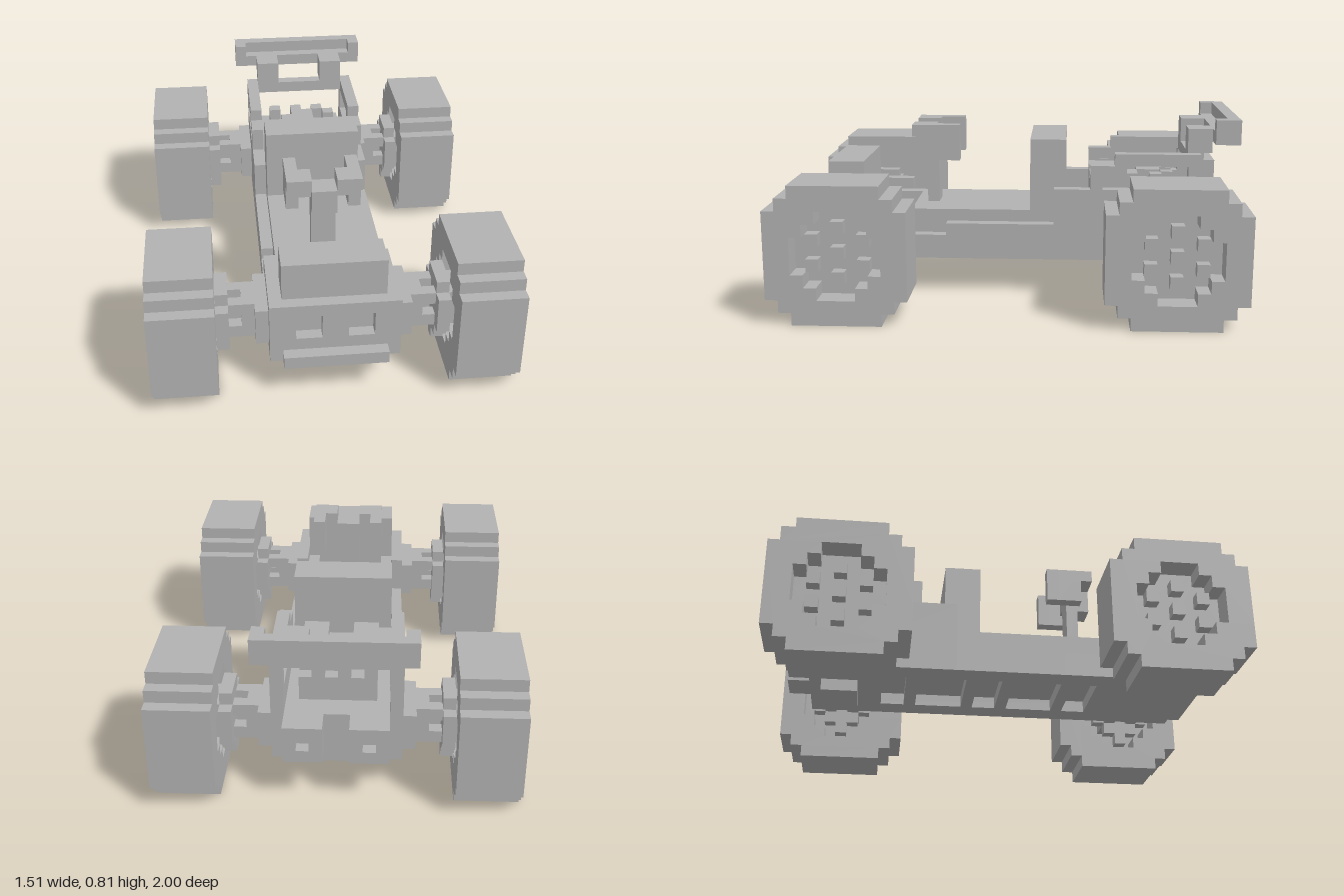
import * as THREE from 'three';

// One block of the model; lengths below are counted in blocks, z from the rear end.
const U = 2 / 37;
const bodyGrey = new THREE.MeshStandardMaterial({ color: 0xb2b2b2 });
bodyGrey.name = 'body grey';

function createPart(parent, name) {
  const part = new THREE.Group();
  part.name = name;
  parent.add(part);
  return part;
}

// Box between block coordinates
function box(parent, name, x0, x1, y0, y1, z0, z1) {
  const geo = new THREE.BoxGeometry((x1 - x0) * U, (y1 - y0) * U, (z1 - z0) * U);
  const mesh = new THREE.Mesh(geo, bodyGrey);
  mesh.name = name;
  mesh.position.set((x0 + x1) / 2 * U, (y0 + y1) / 2 * U, ((z0 + z1) / 2 - 18.5) * U);
  parent.add(mesh);
}

// The same box on both sides
function pair(parent, name, x0, x1, ...rest) {
  box(parent, name, x0, x1, ...rest);
  box(parent, name, -x1, -x0, ...rest);
}

// Stepped round outline: half the width of each row, from bottom to top
function steppedOutline(halfWidths) {
  const n = halfWidths.length, right = [], left = [];
  halfWidths.forEach((w, i) => {
    for (const y of [i - n / 2, i + 1 - n / 2]) {
      right.push(new THREE.Vector2(w * U, y * U));
      left.unshift(new THREE.Vector2(-w * U, y * U));
    }
  });
  return right.concat(left);
}

const TYRE = [3.5, 4.5, 5.5, 5.5, 5.5, 5.5, 5.5, 5.5, 5.5, 4.5, 3.5];
const RIM = [1.5, 2.5, 3.5, 3.5, 3.5, 2.5, 1.5];
const LUGS = [[0, -2], [0, 0], [0, 2], [-2, -1], [-2, 1], [2, -1], [2, 1]];

function addWheel(parent, side, zc) {
  const wheel = createPart(parent, 'wheel');
  const slab = (name, outline, hole, x0, x1) => {
    const shape = new THREE.Shape(outline);
    if (hole) shape.holes.push(new THREE.Path(hole));
    const geo = new THREE.ExtrudeGeometry(shape, { depth: (x1 - x0) * U, bevelEnabled: false });
    geo.translate(0, 0, -(x1 - x0) / 2 * U);
    geo.rotateY(Math.PI / 2);
    const mesh = new THREE.Mesh(geo, bodyGrey);
    mesh.name = name;
    mesh.position.set(side * (x0 + x1) / 2 * U, 5.5 * U, (zc - 18.5) * U);
    wheel.add(mesh);
  };
  slab('tyre', steppedOutline(TYRE), steppedOutline(RIM), 9, 14);
  slab('rimDisc', steppedOutline(RIM), null, 11, 12);
  const sided = (name, x0, x1, ...rest) =>
    box(wheel, name, Math.min(side * x0, side * x1), Math.max(side * x0, side * x1), ...rest);
  for (const [dz, dy] of LUGS) {
    sided('wheelLug', 12, 13, 5 + dy, 6 + dy, zc + dz - 0.5, zc + dz + 0.5);
  }

  // Hub carrier and double suspension arms
  sided('axleStub', 9, 11, 4, 7, zc - 1.5, zc + 1.5);
  sided('hubPlate', 8, 9, 3, 8, zc - 1.5, zc + 1.5);
  for (const s of [-2, 2]) sided('hubEar', 8, 9, 4, 7, zc + s - 0.5, zc + s + 0.5);
  sided('hubFoot', 8, 9, 2, 3, zc - 0.5, zc + 0.5);
  sided('armMount', 5, 6, 4, 7, zc - 2.5, zc + 2.5);
  sided('armRoot', 6, 7, 4, 7, zc - 1.5, zc + 1.5);
  for (const y of [4, 6]) for (const z of [-1, 1]) {
    sided('suspensionArm', 7, 8, y, y + 1, zc + z - 0.5, zc + z + 0.5);
  }
}

export function createModel() {
  const model = new THREE.Group();
  model.name = 'buggy';

  for (const side of [-1, 1]) for (const zc of [5.5, 31.5]) addWheel(model, side, zc);

  // Chassis floor with a ladder of recesses underneath
  const chassis = createPart(model, 'chassis');
  box(chassis, 'floor', -4, 4, 4, 7, 14, 27);
  box(chassis, 'footwellFloor', -4, 4, 4, 5, 27, 31);
  pair(chassis, 'underRail', 3, 4, 3, 4, 3, 31);
  for (const [z0, z1] of [[3, 9], [11, 12], [16, 17], [19, 20], [24, 25], [27, 31]]) {
    box(chassis, 'underCrossbar', -3, 3, 3, 4, z0, z1);
  }
  pair(chassis, 'lowSideRail', 4, 5, 3, 5, 24, 29);
  pair(chassis, 'sideRail', 4, 5, 3, 6, 15, 24);

  // Nose with recessed lamps, raised cowl and bumper
  const nose = createPart(model, 'nose');
  box(nose, 'noseBlock', -5, 5, 3, 8, 31, 34);
  box(nose, 'noseLowerFace', -5, 5, 3, 5, 34, 35);
  box(nose, 'noseUpperFace', -5, 5, 7, 8, 34, 35);
  box(nose, 'noseCentreFace', -1, 1, 5, 7, 34, 35);
  pair(nose, 'noseEndFace', 3, 5, 5, 7, 34, 35);
  box(nose, 'bumper', -4, 4, 3, 4, 35, 36);
  box(nose, 'cowl', -4, 4, 8, 11, 31, 34);
  pair(nose, 'footwellWall', 4, 5, 3, 8, 28, 31);
  pair(nose, 'footwellStep', 3, 4, 5, 7, 27, 31);

  // Steering column and yoke
  const steering = createPart(model, 'steering');
  box(steering, 'column', -1, 1, 7, 12, 25, 26);
  box(steering, 'hub', -1, 1, 11, 13, 25, 27);
  pair(steering, 'spoke', 1, 2, 12, 13, 25, 26);
  pair(steering, 'grip', 2, 3, 11, 14, 24, 26);
  pair(steering, 'gripTop', 1, 3, 13, 14, 25, 27);
  pair(steering, 'gripEnd', 2, 3, 11, 14, 23, 24);

  // Seat
  box(model, 'seatBack', -4, 4, 7, 13, 14, 17);

  // Engine bay and its open side frames
  const rear = createPart(model, 'rearBody');
  box(rear, 'bayFloor', -4, 4, 4, 7, 3, 14);
  pair(rear, 'baySide', 4, 5, 3, 9, 3, 15);
  pair(rear, 'frameTopRail', 4, 5, 11, 12, 3, 10);
  pair(rear, 'frameRearPost', 4, 5, 9, 11, 3, 4);
  pair(rear, 'frameUpperStep', 4, 5, 10, 11, 9, 12);
  pair(rear, 'frameLowerStep', 4, 5, 9, 10, 11, 12);
  box(rear, 'frameCrossbar', -4, 4, 11, 12, 3, 4);
  box(rear, 'differential', -2, 2, 2, 3, 4, 7);

  // Engine blocks
  const engine = createPart(model, 'engine');
  box(engine, 'engineBlock', -3, 3, 7, 9, 5, 12);
  pair(engine, 'cylinderHead', 1, 3, 9, 10, 8, 12);
  box(engine, 'intake', -1, 1, 9, 10, 6, 8);
  for (const [x, z] of [[-3, 5], [-2, 7], [-1, 5], [1, 5], [2, 6]]) {
    box(engine, 'engineStud', x, x + 1, 9, 10, z, z + 1);
  }

  // Square exhaust outlets
  const exhaust = createPart(model, 'exhausts');
  pair(exhaust, 'outletBase', 1, 4, 4, 7, 2, 3);
  for (const y of [4, 6]) pair(exhaust, 'outletRim', 1, 4, y, y + 1, 1, 2);
  for (const x of [1, 3]) pair(exhaust, 'outletSide', x, x + 1, 5, 6, 1, 2);

  // Rear wing
  const wing = createPart(model, 'rearWing');
  box(wing, 'wingBack', -6, 6, 13, 15, 0, 1);
  box(wing, 'wingShelf', -5, 5, 13, 14, 1, 2);
  pair(wing, 'wingEnd', 5, 6, 13, 15, 1, 2);
  pair(wing, 'wingSupport', 2, 4, 12, 14, 2, 4);
  return model;
}
